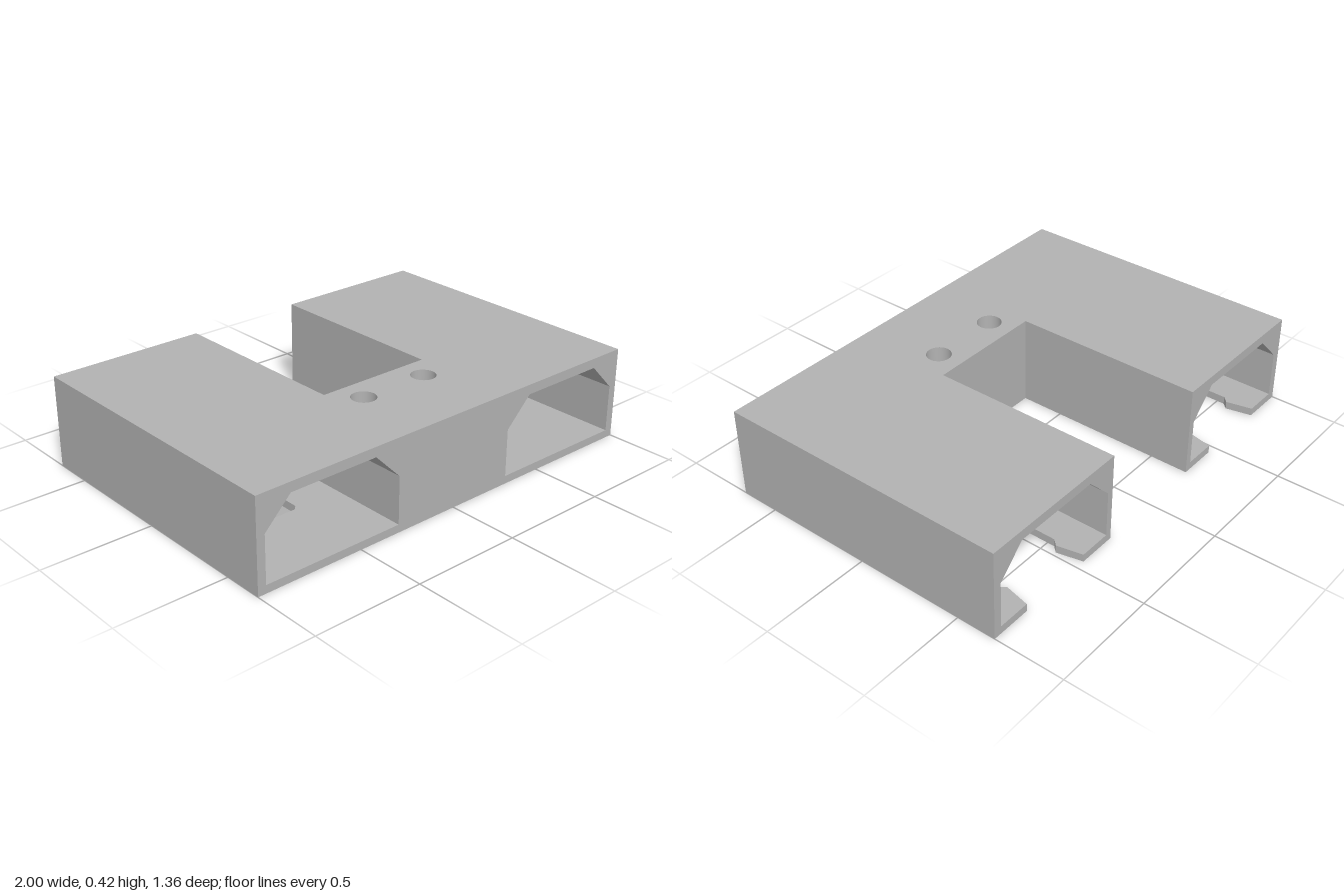
import * as THREE from 'three';

const W = 1, D = 0.68, H = 0.417;          // half width, half depth, height
const INNER = 0.275, BRIDGE = 0.2;         // inner side of the arms, back of the bridge
const FLOOR = 0.036, MID = 0.6335;         // tunnel floor height, tunnel centre
const BORE = { x: 0.167, z: 0.32, r: 0.055, R: 0.1, y: 0.25 };

export function createModel() {
  const group = new THREE.Group();
  const grey = new THREE.MeshStandardMaterial({ color: 0xb2b2b2, side: THREE.DoubleSide });
  grey.name = 'lightGrey';

  const add = (name, geometry) => {
    const mesh = new THREE.Mesh(geometry, grey);
    mesh.name = name;
    group.add(mesh);
    return mesh;
  };
  const vec = (pts) => pts.map(([x, y]) => new THREE.Vector2(x, y));
  const shape = (pts, holes = []) => {
    const s = new THREE.Shape(vec(pts));
    s.holes = holes;
    return s;
  };
  // Horizontal face from (x, z) points
  const level = (name, pts, y, up, bores = []) => {
    const k = up ? -1 : 1;
    const holes = bores.map(([x, z, r]) => new THREE.Path().absarc(x, k * z, r, 0, Math.PI * 2, true));
    const g = new THREE.ShapeGeometry(shape(pts.map(([x, z]) => [x, k * z]), holes), 32);
    add(name, g.rotateX(k * Math.PI / 2).translate(0, y, 0));
  };
  // Flat strips joining two matching rows of 3D points
  const strip = (name, a, b) => {
    const p = [];
    for (let i = 0; i < a.length - 1; i++) {
      p.push(...a[i], ...a[i + 1], ...b[i + 1], ...a[i], ...b[i + 1], ...b[i]);
    }
    const g = new THREE.BufferGeometry();
    g.setAttribute('position', new THREE.Float32BufferAttribute(p, 3));
    g.computeVertexNormals();
    add(name, g);
  };
  const upright = (name, pts, y0, y1) =>
    strip(name, pts.map(([x, z]) => [x, y0, z]), pts.map(([x, z]) => [x, y1, z]));

  // Stepped floor slot, open at the back: half widths along z
  const half = [[0.178, -D], [0.152, -0.562], [0.178, -0.535], [0.178, -0.41],
    [0.12, -0.345], [0.12, 0.3], [0.1, 0.32]];
  const slot = (c) => [
    ...half.map(([h, z]) => [c + h, z]),
    ...half.map(([h, z]) => [c - h, z]).reverse(),
  ];
  // Tunnel section with two chamfered upper corners, starting at the floor
  const tunnel = [[0.962, FLOOR], [0.962, 0.25], [0.84, 0.373], [0.428, 0.373], [0.305, 0.25], [0.305, FLOOR]];
  const flip = (pts, s) => pts.map(([x, y]) => [s * x, y]);

  // Outer shell
  const outline = [[-W, -D], [-W, D], [W, D], [W, -D], [INNER, -D], [INNER, BRIDGE],
    [-INNER, BRIDGE], [-INNER, -D], [-W, -D]];
  const bores = (r) => [-1, 1].map((s) => [s * BORE.x, BORE.z, r]);
  level('roof', outline.slice(0, -1), H, true, bores(BORE.r));
  upright('outerWalls', outline.slice(0, 2), 0, H);
  upright('outerWalls', outline.slice(2, 4), 0, H);
  upright('recessWalls', outline.slice(4, 8), 0, H);
  level('underside', [[-W, D], [W, D], [W, -D], ...slot(MID), [INNER, -D], [INNER, BRIDGE],
    [-INNER, BRIDGE], [-INNER, -D], ...slot(-MID), [-W, -D]], 0, false, bores(BORE.R));

  const openings = [-1, 1].map((s) => new THREE.Path(vec(flip(tunnel, s))));
  const front = shape([[-W, 0], [W, 0], [W, H], [-W, H]], openings);
  add('frontFace', new THREE.ShapeGeometry(front).translate(0, 0, D));

  for (const s of [-1, 1]) {
    // Back end of the arm, open to the slot below
    const back = [[INNER, 0], [INNER, H], [W, H], [W, 0], [MID + half[0][0], 0], [MID + half[0][0], FLOOR],
      ...tunnel, [MID - half[0][0], FLOOR], [MID - half[0][0], 0]];
    add('armBack', new THREE.ShapeGeometry(shape(flip(back, s))).rotateY(Math.PI).scale(-1, 1, 1).translate(0, 0, -D));

    // Tunnel lining and slotted floor
    const section = flip(tunnel, s);
    strip('tunnelWalls', section.map(([x, y]) => [x, y, -D]), section.map(([x, y]) => [x, y, D]));
    level('tunnelFloor', flip([[0.305, D], [0.962, D], [0.962, -D], ...slot(MID), [0.305, -D]], s), FLOOR, true);
    upright('slotWalls', slot(s * MID), 0, FLOOR);

    // Stepped screw hole: narrow above, wide below
    const pipe = (name, r, y0, y1) => add(name, new THREE.CylinderGeometry(r, r, y1 - y0, 48, 1, true))
      .position.set(s * BORE.x, (y0 + y1) / 2, BORE.z);
    pipe('screwHole', BORE.r, BORE.y, H);
    pipe('counterbore', BORE.R, 0, BORE.y);
    add('boreShoulder', new THREE.RingGeometry(BORE.r, BORE.R, 48).rotateX(Math.PI / 2))
      .position.set(s * BORE.x, BORE.y, BORE.z);
  }
  return group;
}
